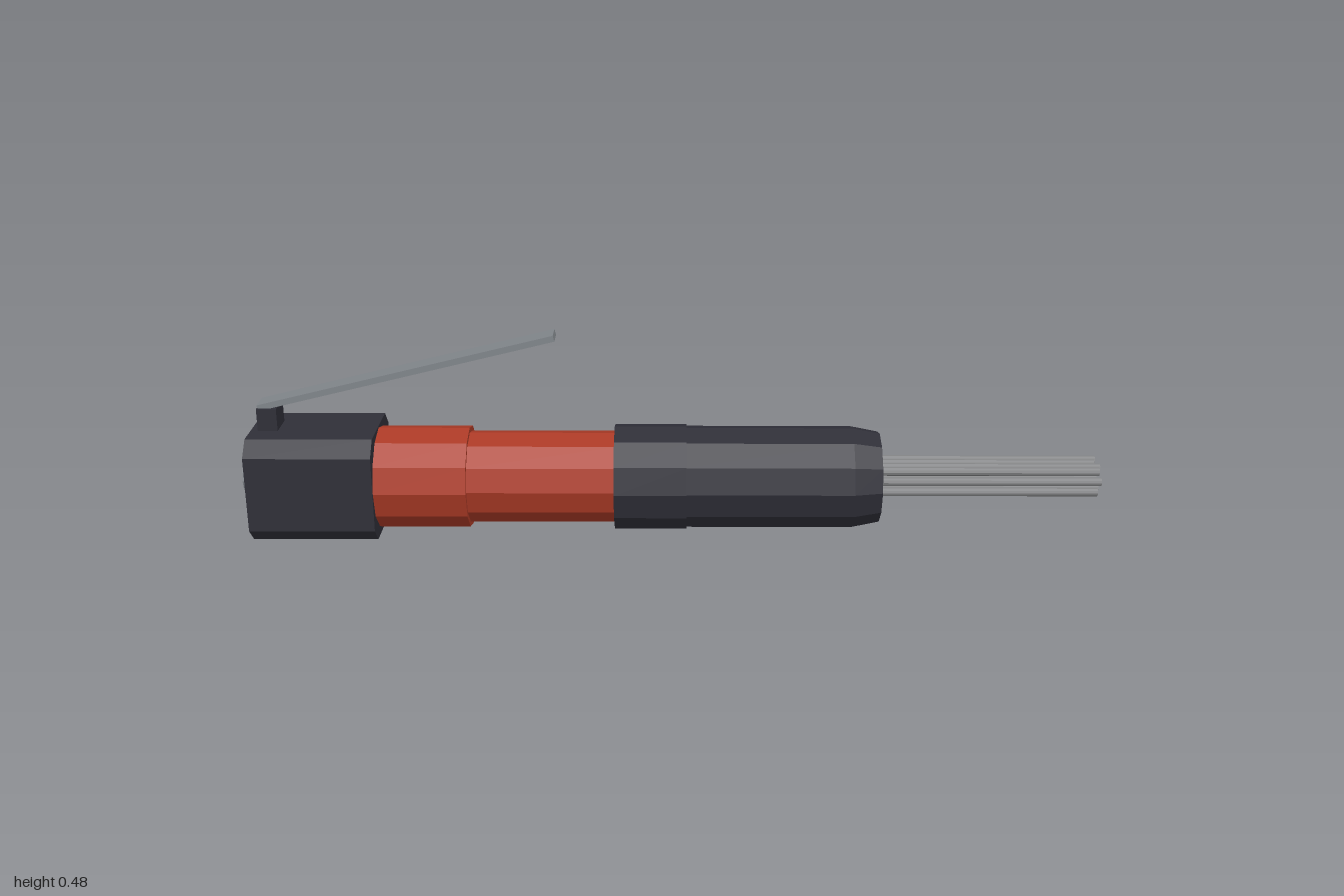
import * as THREE from 'three';

const AXIS_Y = 0.125;

function material(name, color, extra = {}) {
  const m = new THREE.MeshStandardMaterial({ color, flatShading: true, ...extra });
  m.name = name;
  return m;
}

export function createModel() {
  const model = new THREE.Group();
  model.name = 'needleScaler';
  const charcoal = material('charcoal', 0x2f2f38);
  const red = material('red', 0xab3a26);
  const steel = material('steel', 0x80858a);
  const needleGrey = material('needleGrey', 0x838486);

  function add(name, geometry, mat, parent = model) {
    const mesh = new THREE.Mesh(geometry, mat);
    mesh.name = name;
    parent.add(mesh);
    return mesh;
  }

  // Solid turned about the x axis; profile points are [x, radius] from back to front
  function turned(name, profile, sides, mat) {
    const g = new THREE.LatheGeometry(profile.map(([x, r]) => new THREE.Vector2(r, x)), sides);
    g.rotateZ(-Math.PI / 2);
    g.translate(0, AXIS_Y, 0);
    return add(name, g, mat);
  }

  // Chamfered rear block
  const h = 0.124, c = 0.089;
  const octagon = new THREE.Shape(
    [[h, -c], [h, c], [c, h], [-c, h], [-h, c], [-h, -c], [-c, -h], [c, -h]]
      .map(([a, b]) => new THREE.Vector2(a, b)));
  const block = new THREE.ExtrudeGeometry(octagon, { depth: 0.29, bevelEnabled: false });
  block.rotateY(Math.PI / 2);
  block.translate(-0.972, AXIS_Y, 0);
  add('rearBlock', block, charcoal);

  // Hollow air inlet
  turned('airInlet', [[-0.965, 0.018], [-1, 0.018], [-1, 0.04], [-0.965, 0.04]].map(([x, r]) => [x, r]), 12, steel);

  // Barrel sections
  turned('rearBarrel', [[-0.69, 0], [-0.69, 0.12], [-0.47, 0.12], [-0.47, 0]], 12, red);
  turned('frontBarrel', [[-0.48, 0], [-0.48, 0.108], [-0.12, 0.108], [-0.12, 0]], 12, red);
  turned('gripCollar', [[-0.132, 0], [-0.132, 0.124], [0.035, 0.124], [0.035, 0]], 12, charcoal);
  turned('noseSleeve', [[0.02, 0], [0.02, 0.12], [0.42, 0.12], [0.485, 0.107], [0.485, 0]], 12, charcoal);
  turned('needleHolder', [[0.47, 0], [0.47, 0.062], [0.487, 0.062], [0.487, 0]], 20, charcoal);

  // Bundle of needles in a 4 by 3 grid
  const needles = new THREE.Group();
  needles.name = 'needles';
  model.add(needles);
  for (let row = 0; row < 3; row++) {
    for (let col = 0; col < 4; col++) {
      const end = (row + col) % 2 ? 0.993 : 1;
      const g = new THREE.CylinderGeometry(0.01, 0.01, end - 0.47, 10);
      g.rotateZ(-Math.PI / 2);
      g.translate((end + 0.47) / 2, 0.1015 + row * 0.0255, (col - 1.5) * 0.0257);
      add('needle', g, needleGrey, needles);
    }
  }

  // Throttle lever on its pivot post
  const post = add('leverPost', new THREE.BoxGeometry(0.046, 0.07, 0.068), charcoal);
  post.position.set(-0.932, 0.267, 0);
  const from = new THREE.Vector2(-0.953, 0.302), to = new THREE.Vector2(-0.267, 0.47);
  const lever = add('throttleLever', new THREE.BoxGeometry(from.distanceTo(to), 0.0144, 0.055), steel);
  lever.position.set((from.x + to.x) / 2, (from.y + to.y) / 2, 0);
  lever.rotation.z = to.clone().sub(from).angle();

  // Closed floor of the inlet bore
  const floor = new THREE.CircleGeometry(0.02, 12);
  floor.rotateY(-Math.PI / 2);
  floor.translate(-0.974, AXIS_Y, 0);
  add('inletBore', floor, charcoal);

  return model;
}
